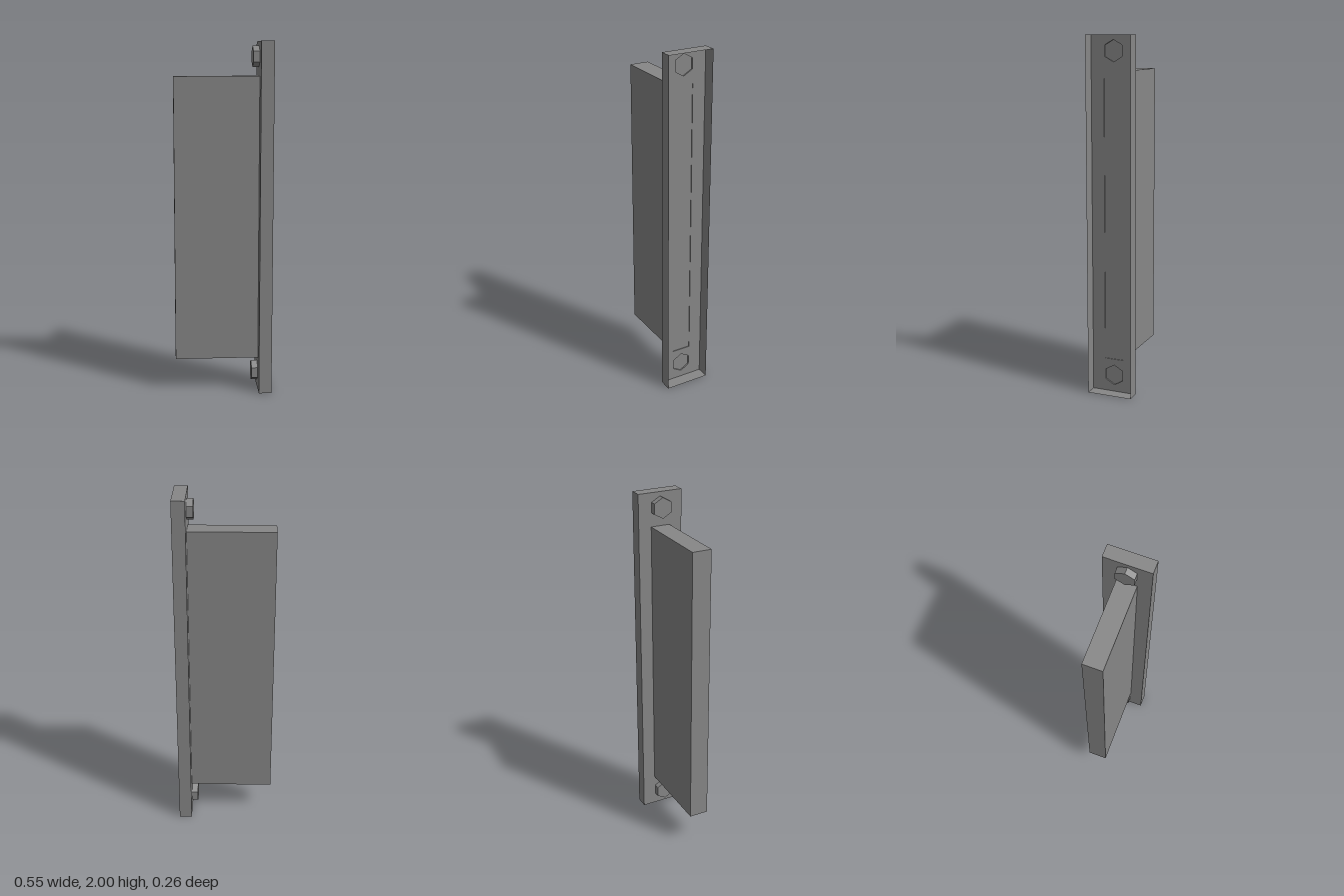
import * as THREE from 'three';

const material = new THREE.MeshStandardMaterial({
  color: 0x878787, flatShading: true, side: THREE.DoubleSide,
});

const INNER = 0.202, OUTER = 0.275;      // plate web and open rim, along x
const BAR = { y0: 0.192, y1: 1.81, half: 0.055 };
const BOLT_R = 0.059, BOLT_X = 0.166;
const BOLT_Y = [0.0975, 1.917];

// Box between two corners, leaving out some faces (order: +x -x +y -y +z -z)
function openBox(min, max, omit) {
  const size = max.map((v, i) => v - min[i]);
  const geo = new THREE.BoxGeometry(...size);
  const index = Array.from(geo.index.array);
  geo.setIndex(index.filter((_, i) => !omit.includes(Math.floor(i / 6))));
  geo.clearGroups();
  geo.translate(...max.map((v, i) => (v + min[i]) / 2));
  return geo;
}

function rectPoints(half, y0, y1) {
  return [[-half, y0], [half, y0], [half, y1], [-half, y1]].map((p) => new THREE.Vector2(...p));
}

function hexPoints(y) {
  return Array.from({ length: 6 }, (_, i) => {
    const a = Math.PI / 6 + (i * Math.PI) / 3;
    return new THREE.Vector2(BOLT_R * Math.cos(a), y + BOLT_R * Math.sin(a));
  });
}

// Flat panel across x, facing +x or -x
function panel(shape, x, facing) {
  return new THREE.ShapeGeometry(shape).rotateY((facing * Math.PI) / 2).translate(x, 0, 0);
}

export function createModel() {
  const group = new THREE.Group();
  const add = (name, geo) => {
    const mesh = new THREE.Mesh(geo, material);
    mesh.name = name;
    group.add(mesh);
  };

  // Mounting plate: thin rim, open towards +x
  add('plateRim', openBox([INNER, 0, -0.13], [OUTER, 2, 0.13], [0, 1]));

  // Plate web with openings behind the bar and the bolts
  const web = new THREE.Shape(rectPoints(0.13, 0, 2));
  web.holes.push(new THREE.Path(rectPoints(BAR.half, BAR.y0, BAR.y1)));
  BOLT_Y.forEach((y) => web.holes.push(new THREE.Path(hexPoints(y))));
  add('plateWeb', panel(web, INNER, -1));

  // Flat bar standing out from the plate, with its root set just below the web
  add('bar', openBox([-0.275, BAR.y0, -BAR.half], [INNER, BAR.y1, BAR.half], [0]));
  const root = new THREE.Shape(rectPoints(BAR.half, BAR.y0, BAR.y1));
  add('barRoot', panel(root, INNER - 0.004, 1));

  // Hexagonal bolt heads, slightly sunk on the inside of the plate
  BOLT_Y.forEach((y, i) => {
    const end = i ? 'upper' : 'lower';
    const depth = INNER - BOLT_X;
    const sides = new THREE.CylinderGeometry(BOLT_R, BOLT_R, depth, 6, 1, true);
    sides.rotateY(Math.PI / 6).rotateZ(Math.PI / 2).translate(BOLT_X + depth / 2, y, 0);
    add(`${end}BoltSides`, sides);
    const hex = new THREE.Shape(hexPoints(y));
    add(`${end}BoltCap`, panel(hex, BOLT_X, -1));
    add(`${end}BoltRoot`, panel(hex, INNER - 0.008, 1));
  });

  return group;
}
